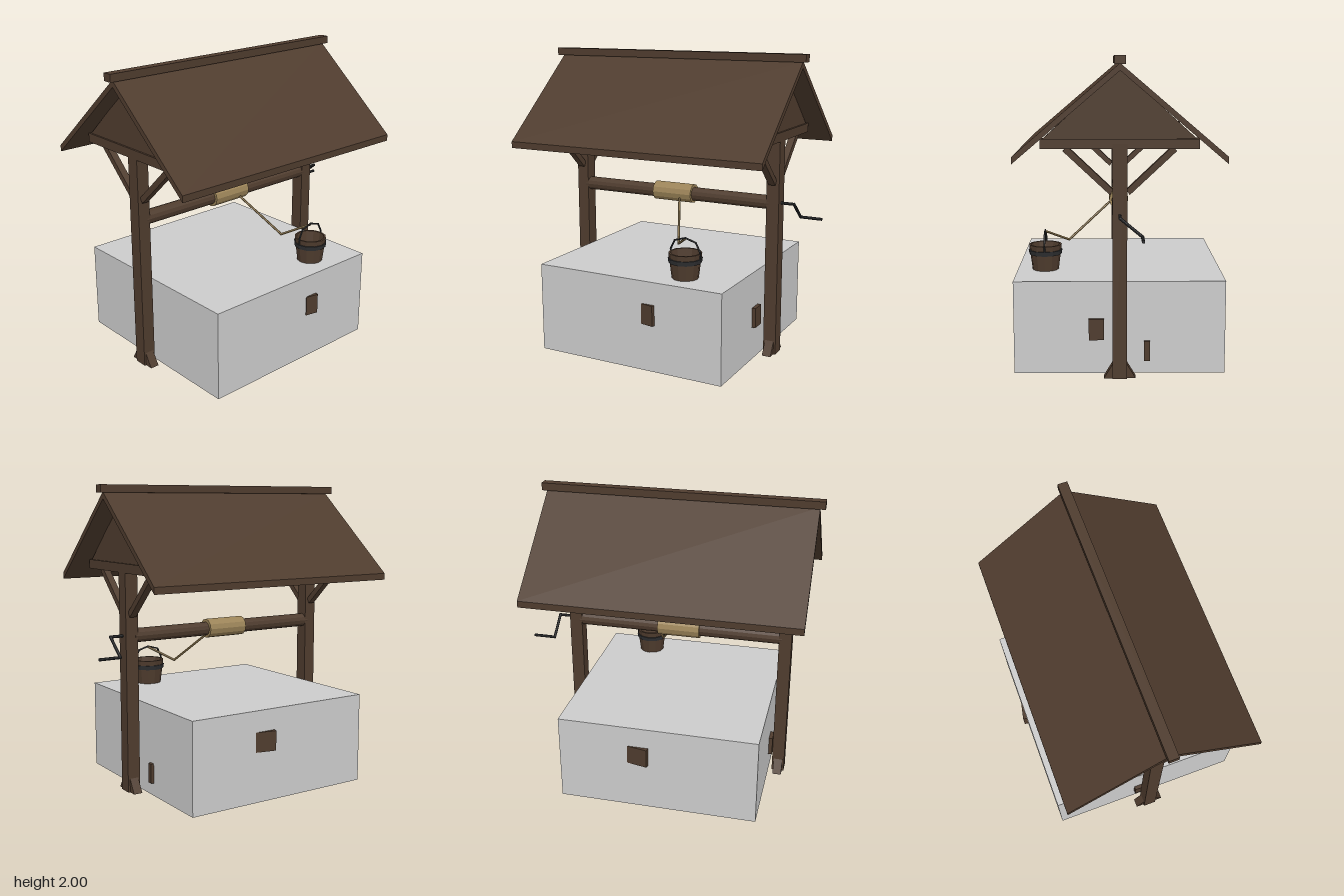
import * as THREE from 'three';

export function createModel() {
  const well = new THREE.Group();
  well.name = 'well';

  const material = (name, color, flat = true) => {
    const m = new THREE.MeshStandardMaterial({ color, flatShading: flat });
    m.name = name;
    return m;
  };
  const wood = material('brown wood', 0x4f3c2e);
  const stone = material('pale stone', 0xcccccc);
  const rope = material('tan rope', 0x9c8458);
  const iron = material('dark iron', 0x2e2f31);

  const add = (name, geometry, mat) => {
    const mesh = new THREE.Mesh(geometry, mat);
    mesh.name = name;
    well.add(mesh);
    return mesh;
  };
  // Box given by its limits on each axis
  const box = (name, mat, x0, x1, y0, y1, z0, z1) => {
    const mesh = add(name, new THREE.BoxGeometry(x1 - x0, y1 - y0, z1 - z0), mat);
    mesh.position.set((x0 + x1) / 2, (y0 + y1) / 2, (z0 + z1) / 2);
    return mesh;
  };
  // Outline of [z, y] points, extruded from x0 to x1
  const slab = (name, mat, outline, x0, x1) => {
    const shape = new THREE.Shape(outline.map(([z, y]) => new THREE.Vector2(-z, y)));
    const g = new THREE.ExtrudeGeometry(shape, { depth: x1 - x0, bevelEnabled: false });
    g.rotateY(Math.PI / 2).translate(x0, 0, 0);
    return add(name, g, mat);
  };
  // Straight rods joined through a list of points
  const rods = (name, mat, radius, points, sides = 8) => {
    const v = points.map((p) => new THREE.Vector3(...p));
    for (let i = 0; i < v.length - 1; i++) {
      const dir = v[i + 1].clone().sub(v[i]);
      const rod = add(name, new THREE.CylinderGeometry(radius, radius, dir.length() + radius, sides), mat);
      rod.position.copy(v[i]).add(v[i + 1]).multiplyScalar(0.5);
      rod.quaternion.setFromUnitVectors(new THREE.Vector3(0, 1, 0), dir.normalize());
    }
  };

  // Stone base with projecting blocks
  box('base', stone, -0.71, 0.625, 0, 0.6, -0.67, 0.67);
  box('frontBlock', wood, 0.07, 0.16, 0.315, 0.45, 0.62, 0.685).rotation.y = -0.2;
  box('backBlock', wood, 0.01, 0.15, 0.33, 0.46, -0.685, -0.62).rotation.y = -0.2;
  box('rightBlock', wood, 0.6, 0.65, 0.225, 0.36, 0.1, 0.195);
  box('smallRightBlock', wood, 0.6, 0.645, 0.085, 0.215, -0.192, -0.155);
  box('leftBlock', wood, -0.735, -0.69, 0.155, 0.285, -0.09, 0);

  // Post frames at both ends
  for (const [x0, x1] of [[-0.82, -0.735], [0.648, 0.735]]) {
    const xm = (x0 + x1) / 2;
    box('post', wood, x0, x1, 0, 1.475, -0.045, 0.045);
    box('crossBeam', wood, x0, x1, 1.445, 1.505, -0.48, 0.48);
    slab('gable', wood, [[-0.47, 1.5], [0.47, 1.5], [0, 1.925]], xm - 0.03, xm + 0.03);
    for (const s of [-1, 1]) {
      slab('brace', wood, [[s * 0.04, 1.195], [s * 0.06, 1.162],
        [s * 0.345, 1.43], [s * 0.33, 1.447], [s * 0.305, 1.447]], xm - 0.023, xm + 0.023);
      slab('footWedge', wood, [[s * 0.04, 0], [s * 0.1, 0], [s * 0.04, 0.1]], xm - 0.03, xm + 0.03);
    }
  }

  // Roof and ridge
  for (const s of [-1, 1]) {
    slab('roofPanel', wood, [[0, 1.955], [s * 0.64, 1.41], [s * 0.64, 1.367], [0, 1.912]], -0.94, 0.858);
  }
  box('ridge', wood, -0.975, 0.887, 1.95, 2, -0.032, 0.032);

  // Axle, rope drum and crank
  const axle = add('axle', new THREE.CylinderGeometry(0.047, 0.047, 1.42, 12).rotateZ(Math.PI / 2), wood);
  axle.position.set(-0.045, 1.035, 0);
  const drum = add('ropeDrum', new THREE.CylinderGeometry(0.065, 0.065, 0.29, 12).rotateZ(Math.PI / 2), rope);
  drum.position.set(-0.045, 1.037, 0);
  rods('crank', iron, 0.01, [[0.72, 1.038, 0], [0.823, 1.038, 0], [0.823, 0.925, -0.135], [0.965, 0.925, -0.135]]);
  rods('rope', rope, 0.008, [[0.02, 1.005, 0.065], [0.155, 0.772, 0.335], [0.28, 0.855, 0.485]], 6);

  // Bucket with hoop and handle
  const lathe = (name, mat, profile) => {
    const g = new THREE.LatheGeometry(profile.map((p) => new THREE.Vector2(...p)), 12);
    add(name, g, mat).position.set(0.283, 0, 0.487);
  };
  lathe('bucket', wood, [[0, 0.602], [0.087, 0.602], [0.108, 0.77], [0.095, 0.77], [0.077, 0.63], [0, 0.63]]);
  lathe('hoop', iron, [[0.1, 0.705], [0.107, 0.705], [0.112, 0.735], [0.1, 0.735]]);
  rods('handle', iron, 0.006, [[0.178, 0.73, 0.487], [0.178, 0.78, 0.487], [0.207, 0.84, 0.487],
    [0.283, 0.862, 0.487], [0.357, 0.84, 0.487], [0.388, 0.78, 0.487], [0.388, 0.73, 0.487]], 6);

  return well;
}
